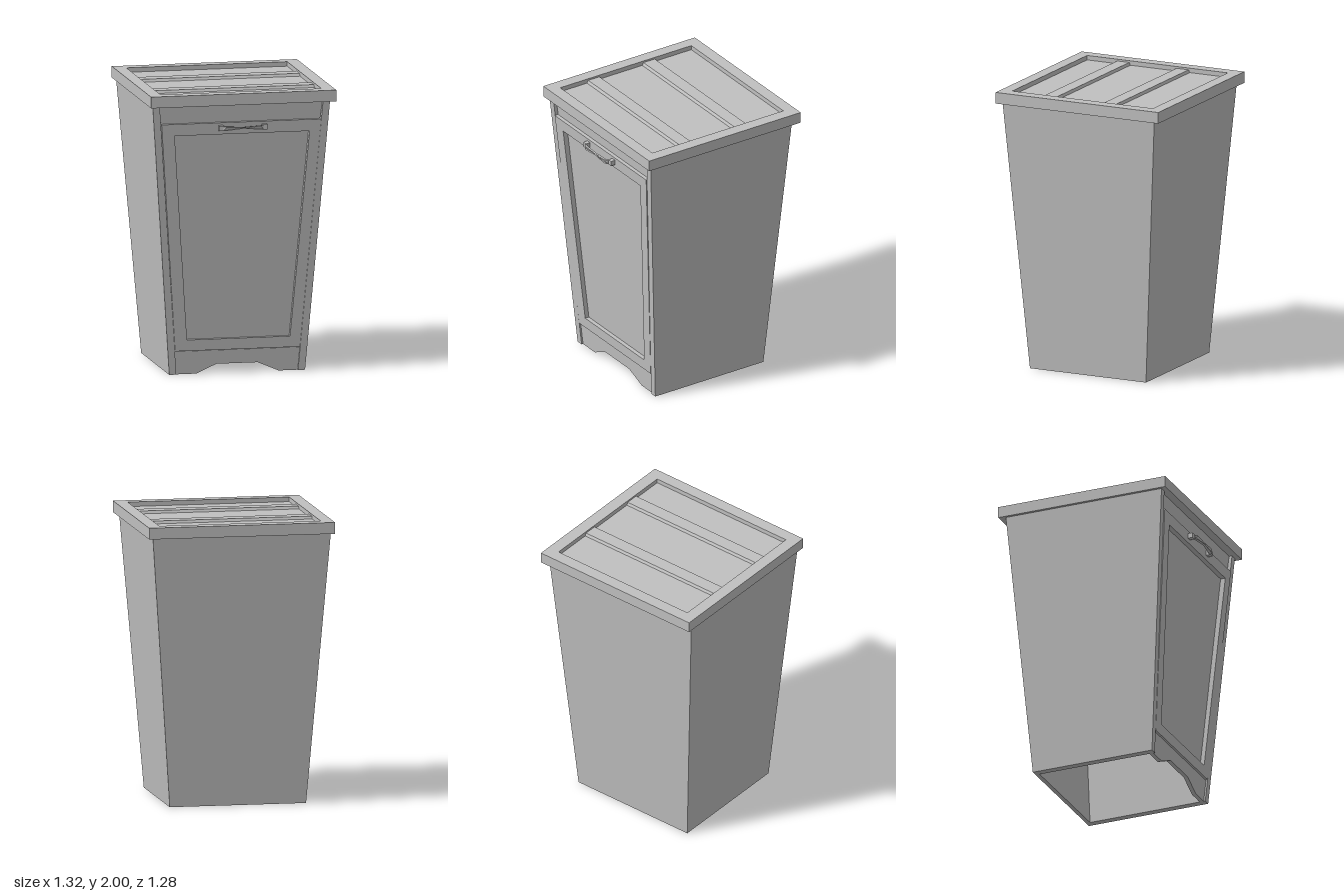
import * as THREE from 'three';

const H = 1.92; // body height below the lid

export function createModel() {
  const group = new THREE.Group();
  const grey = new THREE.MeshStandardMaterial({ color: 0xc0c0c0 });
  grey.name = 'plain grey';

  const add = (name, geometry) => {
    const mesh = new THREE.Mesh(geometry, grey);
    mesh.name = name;
    group.add(mesh);
    return mesh;
  };
  const path = (pts) => pts.map(([x, y]) => new THREE.Vector2(x, y));

  // Extrude an outline (with optional hole) to z = -depth..0
  function plate(pts, depth, hole) {
    const shape = new THREE.Shape(path(pts));
    if (hole) shape.holes.push(new THREE.Path(path(hole)));
    const g = new THREE.ExtrudeGeometry(shape, { depth, bevelEnabled: false });
    return g.translate(0, 0, -depth);
  }

  // Move each vertex by a rule, then refresh the flat normals
  function bend(g, rule) {
    const p = g.attributes.position;
    for (let i = 0; i < p.count; i++) {
      p.setXYZ(i, ...rule(p.getX(i), p.getY(i), p.getZ(i)));
    }
    g.computeVertexNormals();
    return g;
  }

  // Sloping planes of the tapered body
  const frontZ = (y) => 0.455 + 0.138 * y / H;
  const backZ = (y) => -0.452 - 0.14 * y / H;
  const leanFront = (g, offset = 0) => bend(g, (x, y, z) => [x, y, z + frontZ(y) + offset]);
  const trapezoid = (x0, x1, y0, x2, x3, y1) => [[x0, y0], [x1, y0], [x3, y1], [x2, y1]];
  const rect = (x0, x1, y0, y1) => trapezoid(x0, x1, y0, x0, x1, y1);

  // Side walls: unit boxes sheared to the taper
  const wall = 0.05;
  const outerX = { leftSide: (y) => 0.476 + 0.148 * y / H, rightSide: (y) => -0.492 - 0.148 * y / H };
  for (const name of ['leftSide', 'rightSide']) {
    const s = name === 'leftSide' ? 1 : -1;
    const box = new THREE.BoxGeometry(1, H, 1).toNonIndexed().translate(0, H / 2, 0);
    add(name, bend(box, (x, y, z) => [
      outerX[name](y) - s * wall * (0.5 - s * x),
      y,
      z > 0 ? frontZ(y) : backZ(y) + 0.03,
    ]));
  }

  // Back board, full width
  const back = plate(trapezoid(-0.492, 0.476, 0, -0.64, 0.624, H), 0.03);
  add('backBoard', bend(back, (x, y, z) => [x, y, z + 0.03 + backZ(y)]));

  // Rail above the door, set back from the side walls
  add('topRail', leanFront(plate(trapezoid(-0.572, 0.557, 1.77, -0.59, 0.574, H), 0.03), -0.022));

  // Toe board with a shallow cut-out
  add('toeBoard', leanFront(plate([
    [-0.443, 0], [-0.295, 0], [-0.155, 0.065], [0.14, 0.065], [0.29, 0], [0.427, 0],
    [0.439, 0.163], [-0.455, 0.163],
  ], 0.03), -0.012));

  // Door frame, standing out slightly more towards the top
  const opening = trapezoid(-0.37, 0.365, 0.245, -0.482, 0.48, 1.71);
  const frame = plate(trapezoid(-0.453, 0.437, 0.167, -0.576, 0.562, 1.793), 0.05, opening);
  add('doorFrame', bend(frame, (x, y, z) => [x, y, z + frontZ(y) + 0.006 * y / 1.79]));
  add('doorPanel', leanFront(plate(trapezoid(-0.375, 0.37, 0.235, -0.487, 0.485, 1.72), 0.012), -0.03));

  // Handle: two posts with end blocks and a bowed, waisted bar
  const handle = new THREE.Group();
  handle.name = 'handle';
  group.add(handle);
  for (const s of [-1, 1]) {
    const post = new THREE.Mesh(new THREE.BoxGeometry(0.034, 0.036, 0.035), grey);
    post.name = 'handlePost';
    post.position.set(s * 0.155, 1.757, 0.605);
    handle.add(post);
  }
  const bar = plate([
    [-0.142, 1.742], [-0.12, 1.742], [0, 1.754], [0.12, 1.742], [0.142, 1.742],
    [0.142, 1.77], [0.12, 1.77], [0, 1.764], [-0.12, 1.77], [-0.142, 1.77],
  ], 0.016);
  const barMesh = new THREE.Mesh(
    bend(bar, (x, y, z) => [x, y, z + (Math.abs(x) > 0.13 ? 0.628 : 0.641)]), grey);
  barMesh.name = 'handleBar';
  handle.add(barMesh);

  // Lid frame, laid flat
  const lid = plate(rect(-0.66, 0.66, -0.63, 0.6415), 0.08, rect(-0.575, 0.572, -0.545, 0.555));
  add('lidFrame', lid.rotateX(-Math.PI / 2).translate(0, 2, 0));

  // Sunken lid board
  const board = new THREE.BoxGeometry(1.15, 0.03, 1.104);
  add('lidBoard', board.translate(-0.0015, 1.953, -0.005));

  // Two raised slats with sloping edges
  for (const z of [-0.258, 0.206]) {
    const slat = plate([[0, 0], [0.115, 0], [0.104, 0.02], [0.01, 0.02]], 1.147);
    slat.rotateY(-Math.PI / 2);
    add('lidSlat', slat.translate(-0.575, 1.967, z));
  }
  return group;
}
